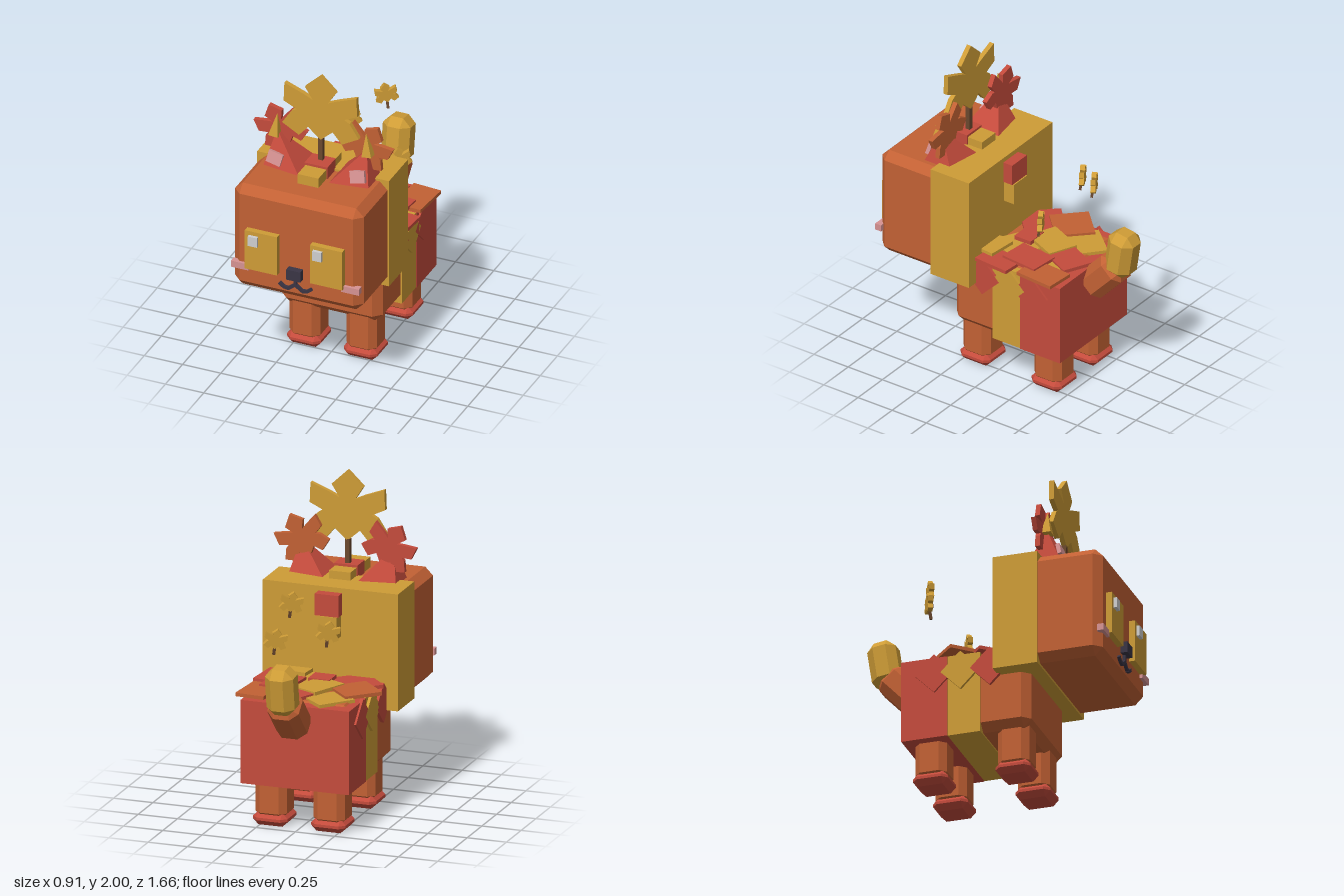
import * as THREE from 'three';
import { ConvexGeometry } from 'three/addons/geometries/ConvexGeometry.js';

const mat = (name, color) => {
  const m = new THREE.MeshStandardMaterial({ color });
  m.name = name;
  return m;
};

export function createModel() {
  const orange = mat('orange', 0xc26134), gold = mat('gold', 0xce9c36), red = mat('red', 0xc44b3c);
  const dark = mat('charcoal', 0x3a3545), pink = mat('pink', 0xd69292);
  const pale = mat('pale grey', 0xcfcfcf), brown = mat('brown', 0x6a482e);
  const model = new THREE.Group();
  model.name = 'leafFox';

  const add = (name, geo, m, pos = [0, 0, 0], rot = [0, 0, 0]) => {
    const mesh = new THREE.Mesh(geo, m);
    mesh.name = name;
    mesh.position.set(...pos);
    mesh.rotation.set(...rot);
    model.add(mesh);
    return mesh;
  };
  const box = (name, size, m, pos, rot) => add(name, new THREE.BoxGeometry(...size), m, pos, rot);
  // Box from its limits on each axis
  const span = (name, m, x, y, z) => box(name, [x[1] - x[0], y[1] - y[0], z[1] - z[0]], m,
    [(x[0] + x[1]) / 2, (y[0] + y[1]) / 2, (z[0] + z[1]) / 2]);
  // Box with every edge cut off by c
  const chamfer = (name, [w, h, d], c, m, pos, rot) => {
    const pts = [];
    for (const i of [-1, 1]) for (const j of [-1, 1]) for (const k of [-1, 1]) {
      const [x, y, z] = [i * w / 2, j * h / 2, k * d / 2];
      pts.push(new THREE.Vector3(x, y - j * c, z - k * c),
        new THREE.Vector3(x - i * c, y, z - k * c),
        new THREE.Vector3(x - i * c, y - j * c, z));
    }
    return add(name, new ConvexGeometry(pts), m, pos, rot);
  };

  // Head and hood
  chamfer('head', [0.84, 0.7, 0.62], 0.05, orange, [0, 0.99, 0.46]);
  span('hood', gold, [-0.43, 0.43], [0.625, 1.355], [0.095, 0.375]);

  // Body with blanket bands
  chamfer('body', [0.66, 0.52, 0.76], 0.05, orange, [0, 0.54, -0.09]);
  span('frontBand', gold, [-0.34, 0.34], [0.27, 0.79], [-0.22, -0.015]);
  span('rearBand', red, [-0.345, 0.345], [0.27, 0.79], [-0.51, -0.22]);

  // Legs and paws
  for (const x of [-0.185, 0.185]) for (const z of [0.165, -0.355]) {
    chamfer('leg', [0.2, 0.32, 0.2], 0.04, orange, [x, 0.2, z]);
    chamfer('paw', [0.22, 0.085, 0.22], 0.034, red, [x, 0.0425, z]);
  }

  // Tail
  chamfer('tailBase', [0.2, 0.32, 0.2], 0.05, orange, [0, 0.76, -0.6], [-0.75, 0, 0]);
  chamfer('tailTip', [0.18, 0.3, 0.18], 0.05, gold, [0, 0.95, -0.725], [-0.15, 0, 0]);

  // Face
  for (const s of [-1, 1]) {
    box('eye', [0.21, 0.265, 0.045], gold, [s * 0.213, 0.938, 0.786]);
    box('cheek', [0.115, 0.042, 0.042], pink, [s * 0.36, 0.803, 0.768]);
    box('mouthInner', [0.06, 0.02, 0.02], dark, [s * 0.024, 0.735, 0.777], [0, 0, -s * 0.65]);
    box('mouthMiddle', [0.035, 0.02, 0.02], dark, [s * 0.062, 0.721, 0.777], [0, 0, s * 0.2]);
    box('mouthOuter', [0.04, 0.02, 0.02], dark, [s * 0.09, 0.734, 0.777], [0, 0, s * 0.65]);
  }
  for (const x of [-0.26, 0.16]) box('eyeGlint', [0.06, 0.065, 0.025], pale, [x, 1.012, 0.817]);
  box('nose', [0.092, 0.07, 0.05], dark, [0, 0.83, 0.787]);
  box('mouthStem', [0.02, 0.06, 0.02], dark, [0, 0.772, 0.777]);

  // Leaning pyramid ears with gold tips and pink inner plates
  for (const s of [-1, 1]) {
    const corners = [[0.1, 1.34, 0.255], [0.1, 1.34, 0.515], [0.345, 1.33, 0.29],
      [0.345, 1.33, 0.485], [0.292, 1.55, 0.39]];
    add('ear', new ConvexGeometry(corners.map(([x, y, z]) => new THREE.Vector3(s * x, y, z))), red);
    add('earTip', new THREE.ConeGeometry(0.045, 0.15, 4, 1, false, Math.PI / 4).toNonIndexed(), gold,
      [s * 0.297, 1.59, 0.395], [0, 0, s * 0.1]).geometry.computeVertexNormals();
    box('innerEar', [0.095, 0.075, 0.025], pink, [s * 0.27, 1.4, 0.472], [-0.25, 0, s * 0.2]);
  }

  // Five-lobed leaf, half an outline mirrored
  const half = [[0, 0.265], [0.101, 0.169], [0.05, 0.09], [0.112, 0.118], [0.105, 0.135],
    [0.235, 0.165], [0.24, 0.04], [0.155, 0], [0.19, -0.02], [0.25, -0.112],
    [0.14, -0.175], [0.08, -0.105], [0, -0.175]];
  half.splice(4, 1);
  const outline = [...half, ...half.slice(1, -1).reverse().map(([x, y]) => [-x, y])];
  const leaf = (name, size, thick, m, pos, rot) => {
    const shape = new THREE.Shape(outline.map(([x, y]) => new THREE.Vector2(x * size, y * size)));
    const geo = new THREE.ExtrudeGeometry(shape, { depth: thick, bevelEnabled: false });
    geo.translate(0, 0, -thick / 2);
    return add(name, geo, m, pos, rot);
  };
  leaf('crownLeaf', 1, 0.03, gold, [0, 1.735, 0.4]);
  box('crownStem', [0.03, 0.24, 0.03], brown, [0, 1.45, 0.4]);
  leaf('leftLeaf', 0.63, 0.03, orange, [0.275, 1.55, 0.36], [0, 0, -0.5]);
  leaf('rightLeaf', 0.63, 0.03, red, [-0.275, 1.55, 0.36], [0, 0, 0.5]);

  // Small drifting leaves with stems
  for (const [x, y, z] of [[-0.17, 1.23, -0.395], [0.04, 1.41, -0.46], [0.21, 1.105, -0.275]]) {
    leaf('driftingLeaf', 0.28, 0.03, gold, [x, y, z], [0, 0.5, 0.2]);
    box('driftingStem', [0.016, 0.06, 0.016], brown, [x + 0.01, y - 0.06, z + 0.005], [-0.2, 0.5, 0.2]);
  }

  // Mane blocks over the head and down the hood
  span('maneFront', gold, [-0.068, 0.068], [1.32, 1.405], [0.48, 0.595]);
  span('maneMiddle', red, [-0.075, 0.075], [1.32, 1.42], [0.36, 0.48]);
  span('maneRear', gold, [-0.068, 0.068], [1.32, 1.405], [0.255, 0.36]);
  span('maneNape', red, [-0.075, 0.075], [1.19, 1.325], [0.03, 0.12]);
  span('maneNeck', gold, [-0.068, 0.068], [1.055, 1.19], [0.022, 0.12]);
  span('maneBack', red, [-0.068, 0.068], [0.8, 0.838], [-0.1, 0.02]);

  // Fallen leaf plates on the back: x, z, width, depth, turn, height
  const plates = [
    [gold, -0.16, -0.35, 0.2, 0.24, -0.72, 0.8], [orange, -0.26, -0.17, 0.24, 0.24, 0.78, 0.815],
    [red, -0.2, 0, 0.25, 0.25, 0.75, 0.805], [gold, -0.03, -0.19, 0.19, 0.25, -0.42, 0.822],
    [red, 0.07, -0.38, 0.19, 0.22, -0.45, 0.812], [gold, 0.17, -0.3, 0.2, 0.2, -0.5, 0.8],
    [orange, 0.29, -0.35, 0.185, 0.26, -0.08, 0.808], [red, 0.2, -0.18, 0.19, 0.25, -0.1, 0.82],
    [red, 0.305, -0.04, 0.17, 0.24, -0.08, 0.805], [gold, 0.21, 0.06, 0.19, 0.12, -0.1, 0.825],
    [gold, 0.1, -0.02, 0.2, 0.22, -0.5, 0.802],
  ];
  for (const [m, x, z, w, d, turn, y] of plates)
    box('backPlate', [w, 0.022, d], m, [x, y, z], [0, turn, 0]);

  // Diamond plates hanging on both flanks
  for (const s of [-1, 1])
    [[red, 0.05], [gold, -0.135], [red, -0.3]].forEach(([m, z]) =>
      box('flankPlate', [0.022, 0.175, 0.175], m, [s * 0.347, 0.685, z], [Math.PI / 4, 0, 0]));

  return model;
}
